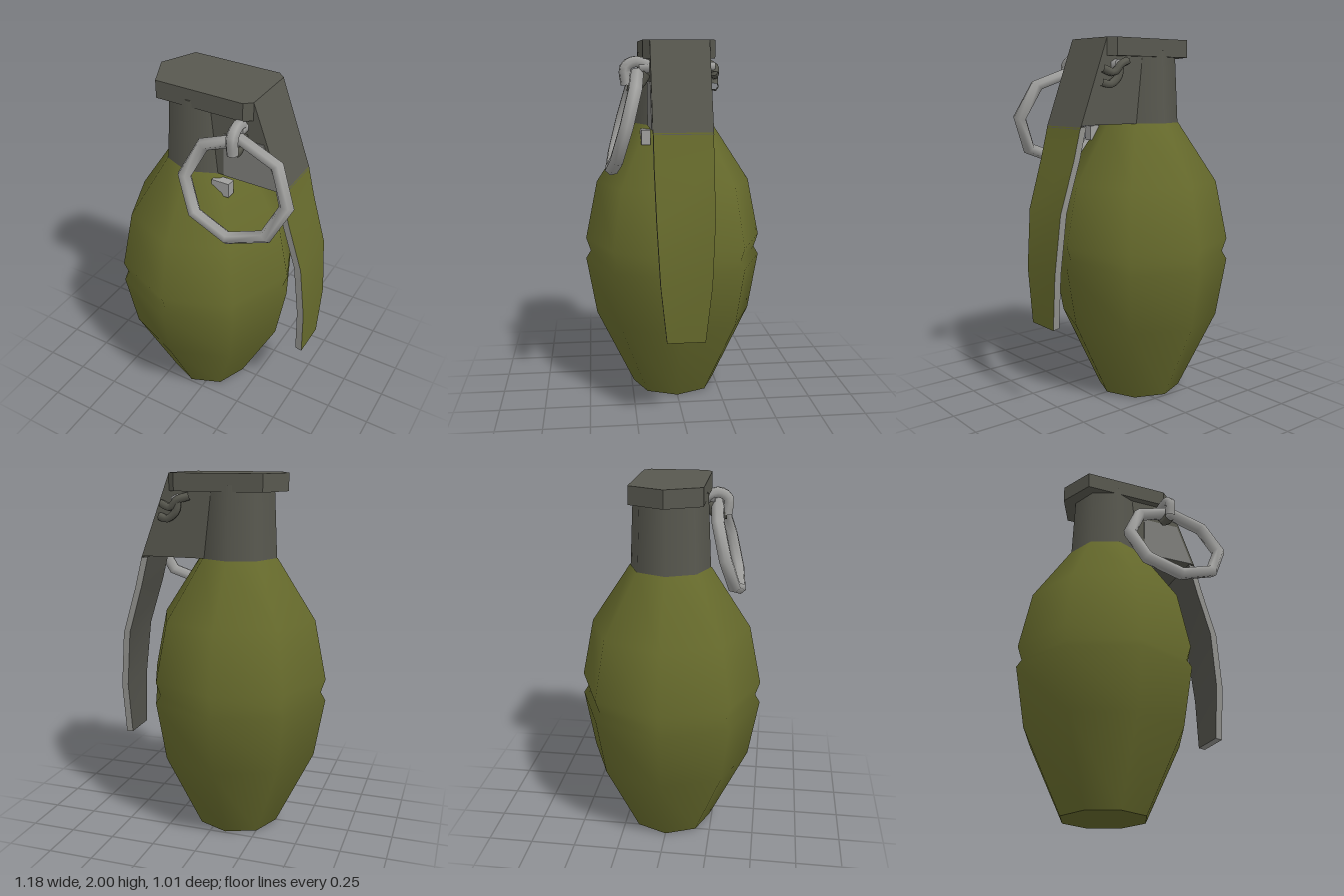
import * as THREE from 'three';

const mat = (name, color, side = THREE.FrontSide) => {
  const m = new THREE.MeshStandardMaterial({ color, side });
  m.name = name;
  return m;
};

// Surface between two rows of 3D points
function strip(a, b) {
  const pos = [], idx = [];
  a.forEach((p, i) => {
    pos.push(...p, ...b[i]);
    const k = i * 2;
    if (i) idx.push(k - 2, k, k - 1, k - 1, k, k + 1);
  });
  const g = new THREE.BufferGeometry();
  g.setAttribute('position', new THREE.Float32BufferAttribute(pos, 3));
  g.setIndex(idx);
  g.computeVertexNormals();
  return g;
}

const polygon = (pts) => new THREE.Shape(pts.map(([x, y]) => new THREE.Vector2(x, y)));
const extrude = (pts, depth) =>
  new THREE.ExtrudeGeometry(polygon(pts), { depth, bevelEnabled: false });
const tube = (pts, r, n = 10) => new THREE.TubeGeometry(
  new THREE.CatmullRomCurve3(pts.map((p) => new THREE.Vector3(...p))), n, r, 6);

export function createModel() {
  const model = new THREE.Group();
  const olive = mat('olive paint', 0x666a2c);
  const steel = mat('dark steel', 0x58584f);
  const silver = mat('light steel', 0xa0a09e);
  const worn = mat('worn steel', 0x7e7e7a);
  const leverOlive = mat('lever olive paint', 0x666a2c, THREE.DoubleSide);
  const leverSteel = mat('lever dark steel', 0x53534c, THREE.DoubleSide);
  const leverEdge = mat('lever light edge', 0x92928e, THREE.DoubleSide);

  const add = (name, geometry, material, x = 0, y = 0, z = 0) => {
    const m = new THREE.Mesh(geometry, material);
    m.name = name;
    m.position.set(x, y, z);
    model.add(m);
    return m;
  };
  const axis = -0.085;

  // Eight-sided body with a groove round the middle
  const profile = [[0.237, 0], [0.45, 0.44], [0.507, 0.77], [0.48, 0.815],
    [0.505, 0.89], [0.437, 1.22], [0.22, 1.55]];
  add('body', new THREE.LatheGeometry(
    profile.map(([r, y]) => new THREE.Vector2(r, y)), 8), olive, axis);
  add('bodyBase', new THREE.CircleGeometry(0.237, 8).rotateX(Math.PI / 2), olive, axis);

  // Neck and head
  add('neck', new THREE.CylinderGeometry(0.198, 0.217, 0.4, 8), steel, axis, 1.74);
  add('headCap', extrude([[-0.36, 0], [-0.27, -0.19], [0.22, -0.19], [0.26, -0.155],
    [0.26, 0.155], [0.22, 0.19], [-0.27, 0.19]], 0.095).rotateX(Math.PI / 2), steel, 0, 2);
  add('leverHousing', extrude([[0, 1.55], [0.42, 1.55], [0.435, 1.53], [0.26, 1.998],
    [0, 1.998]], 0.31), steel, 0, 0, -0.155);
  add('housingFrontPlate', extrude([[0.1, 1.55], [0.41, 1.55], [0.32, 1.79], [0.1, 1.79]],
    0.004), worn, 0, 0, 0.155);
  add('neckTab', new THREE.BoxGeometry(0.1, 0.08, 0.05), silver, 0.1, 1.49, 0.17);

  // Lever: painted outside, bare inside, light edges; rows are x, y, half width
  const rows = [[0.432, 1.54, 0.153], [0.475, 1.37, 0.153], [0.558, 1.1, 0.148],
    [0.588, 0.78, 0.132], [0.582, 0.48, 0.1]];
  const row = (dx, s) => rows.map(([x, y, h]) => [x + dx, y - dx * 0.15, s * h]);
  const t = -0.038;
  add('leverOuterFace', strip(row(0, 1), row(0, -1)), leverOlive);
  add('leverInnerFace', strip(row(t, -1), row(t, 1)), leverSteel);
  for (const s of [1, -1]) {
    add(s > 0 ? 'leverFrontEdge' : 'leverBackEdge', strip(row(t, s), row(0, s)), leverEdge);
  }
  const tip = (dx) => [row(dx, 1).at(-1), row(dx, -1).at(-1)];
  add('leverTip', strip(tip(0), tip(t)), leverEdge);

  // Tilted pull ring hanging from the pin
  const ring = add('pullRing', new THREE.TorusGeometry(0.287, 0.038, 6, 8), silver,
    0.235, 1.58, 0.29);
  ring.scale.y = 0.89;
  ring.rotation.x = -0.27;

  // Safety pin: front eyelet, shaft and two bent ends at the back
  add('pinShaft', new THREE.CylinderGeometry(0.028, 0.028, 0.4, 6).rotateX(Math.PI / 2),
    silver, 0.21, 1.86, 0.01);
  add('pinEyelet', tube([[0.2, 1.87, 0.16], [0.21, 1.89, 0.23], [0.215, 1.86, 0.28],
    [0.215, 1.77, 0.275]], 0.032), silver);
  add('pinEyeletReturn', tube([[0.215, 1.77, 0.275], [0.212, 1.77, 0.22],
    [0.21, 1.83, 0.17]], 0.03), steel);
  add('pinUpperEnd', tube([[0.14, 1.88, -0.17], [0.2, 1.86, -0.19], [0.24, 1.82, -0.185],
    [0.3, 1.84, -0.17]], 0.022), steel);
  add('pinLowerEnd', tube([[0.2, 1.86, -0.185], [0.21, 1.8, -0.185], [0.26, 1.76, -0.18],
    [0.31, 1.77, -0.17]], 0.022), steel);

  return model;
}
